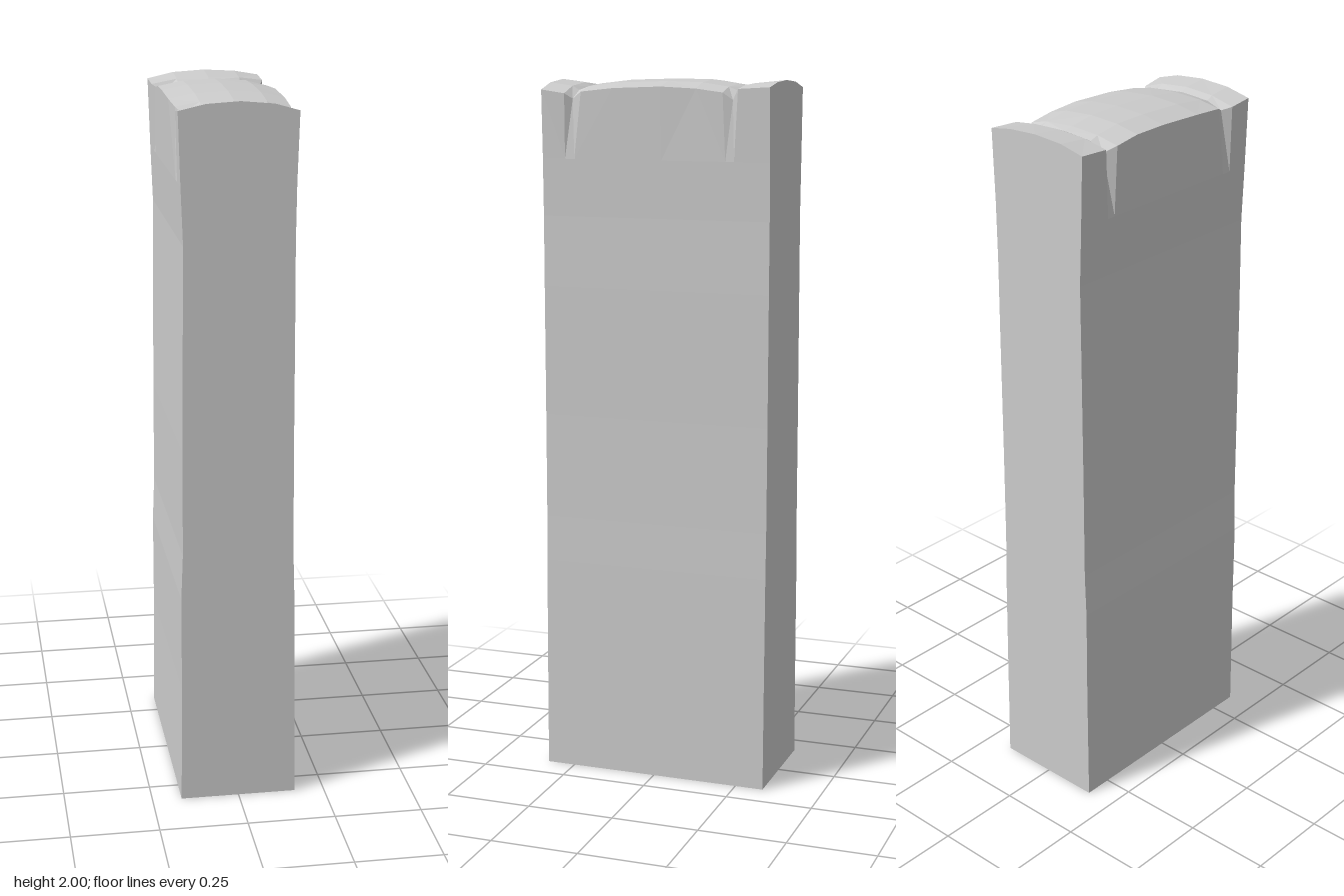
import * as THREE from 'three';

// Side silhouettes: [height, left x, right x]
const SIDES = [
  [0, -0.166, 0.165], [0.35, -0.163, 0.161], [0.62, -0.163, 0.157], [0.75, -0.158, 0.153],
  [1.05, -0.157, 0.151], [1.42, -0.154, 0.15], [1.62, -0.152, 0.149], [1.78, -0.158, 0.151],
];

// Stations along the length:
// [z, top y at left edge, centre, right edge, left top x, right top x, notch tilt in z]
const STATIONS = [
  [0.332, 1.975, 1.997, 1.97, -0.164, 0.157, 0],
  [0.265, 1.965, 1.988, 1.96, -0.162, 0.152, 0],
  [0.245, 1.955, 1.978, 1.945, -0.139, 0.138, 0],
  [0.215, 1.97, 1.985, 1.965, -0.156, 0.153, 0.022],
  [0.12, 1.977, 1.996, 1.975, -0.161, 0.155, 0],
  [-0.02, 1.982, 2.0, 1.98, -0.161, 0.154, 0],
  [-0.12, 1.98, 1.998, 1.975, -0.16, 0.15, 0],
  [-0.195, 1.968, 1.986, 1.965, -0.159, 0.146, -0.01],
  [-0.222, 1.95, 1.979, 1.945, -0.133, 0.138, 0],
  [-0.242, 1.97, 1.988, 1.975, -0.163, 0.157, 0.012],
  [-0.332, 1.975, 1.997, 1.98, -0.164, 0.158, 0],
];

// Closed outline of one station, counter-clockwise seen from the front
function section([z, yl, yc, yr, xl, xr, tilt]) {
  const right = SIDES.map(([y, , x]) => new THREE.Vector3(x, y, z + (y > 1.7 ? tilt : 0)));
  const left = SIDES.map(([y, x]) => new THREE.Vector3(x, y, z + (y > 1.7 ? tilt : 0))).reverse();
  const top = [
    new THREE.Vector3(xr, yr, z),
    new THREE.Vector3(0.09, yc * 0.7 + yr * 0.3, z),
    new THREE.Vector3(0, yc, z),
    new THREE.Vector3(-0.09, yc * 0.75 + yl * 0.25, z),
    new THREE.Vector3(xl, yl, z),
  ];
  return [...right, ...top, ...left];
}

// Skins the sections and closes both ends
function loft(sections) {
  const pos = [];
  const tri = (...pts) => pts.forEach((p) => pos.push(p.x, p.y, p.z));
  const n = sections[0].length;
  for (let s = 0; s < sections.length - 1; s++) {
    const a = sections[s], b = sections[s + 1];
    for (let i = 0; i < n; i++) {
      const j = (i + 1) % n;
      if ((s + i) % 2) {
        tri(a[i], b[i], a[j]);
        tri(a[j], b[i], b[j]);
      } else {
        tri(a[i], b[i], b[j]);
        tri(a[i], b[j], a[j]);
      }
    }
  }
  const cap = (ring, flip) => {
    const c = new THREE.Vector3(0, 1, ring[0].z);
    ring.forEach((p, i) => {
      const q = ring[(i + 1) % n];
      if (flip) tri(c, q, p);
      else tri(c, p, q);
    });
  };
  cap(sections[0], false);
  cap(sections[sections.length - 1], true);
  const geo = new THREE.BufferGeometry();
  geo.setAttribute('position', new THREE.Float32BufferAttribute(pos, 3));
  geo.computeVertexNormals();
  return geo;
}

export function createModel() {
  const group = new THREE.Group();
  group.name = 'stonePillar';
  const stone = new THREE.MeshStandardMaterial({ color: 0xcccccc, flatShading: true });

  // Weathered slab with two chipped notches worn over its top edge
  const slab = new THREE.Mesh(loft(STATIONS.map(section)), stone);
  slab.name = 'stoneSlab';
  group.add(slab);
  return group;
}
